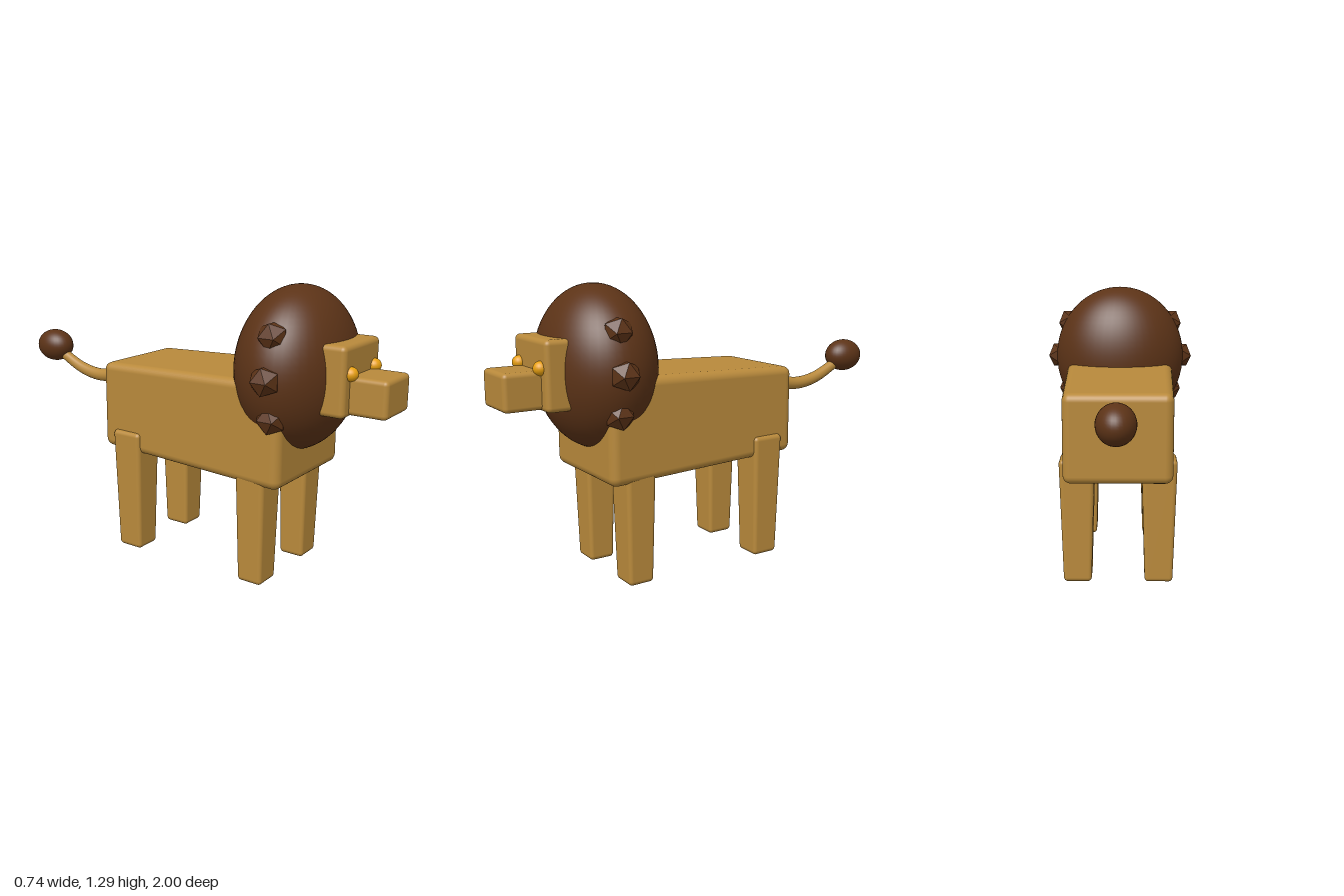
import * as THREE from 'three';
import { RoundedBoxGeometry } from 'three/addons/geometries/RoundedBoxGeometry.js';

const fur = new THREE.MeshStandardMaterial({ color: 0xb8893b });
const brown = new THREE.MeshStandardMaterial({ color: 0x5c3317 });
const tuftFur = new THREE.MeshStandardMaterial({ color: 0x5c3317, flatShading: true });
const amber = new THREE.MeshStandardMaterial({ color: 0xe8a010 });

function add(parent, name, geometry, material, x = 0, y = 0, z = 0) {
  const mesh = new THREE.Mesh(geometry, material);
  mesh.name = name;
  mesh.position.set(x, y, z);
  parent.add(mesh);
  return mesh;
}

// Rounded box whose cross-section shrinks linearly along one axis, from + end to - end
function taperedBox(w, h, d, radius, axis, scaleA, scaleB) {
  const geometry = new RoundedBoxGeometry(w, h, d, 4, radius);
  const length = { y: h, z: d }[axis];
  const other = axis === 'y' ? 'z' : 'y';
  const p = geometry.attributes.position;
  const v = new THREE.Vector3();
  for (let i = 0; i < p.count; i++) {
    v.fromBufferAttribute(p, i);
    const t = 0.5 - v[axis] / length;
    v.x *= 1 + (scaleA - 1) * t;
    v[other] *= 1 + (scaleB - 1) * t;
    p.setXYZ(i, v.x, v.y, v.z);
  }
  return geometry;
}

function ellipsoid(rx, ry, rz, segments = 40) {
  return new THREE.SphereGeometry(1, segments, Math.round(segments * 0.7)).scale(rx, ry, rz);
}

// Tube that narrows from r0 to r1
function taperedTube(curve, r0, r1, segments = 32, sides = 16) {
  const geometry = new THREE.TubeGeometry(curve, segments, 1, sides);
  const p = geometry.attributes.position;
  const v = new THREE.Vector3();
  for (let i = 0; i < p.count; i++) {
    const t = Math.floor(i / (sides + 1)) / segments;
    const centre = curve.getPointAt(t);
    v.fromBufferAttribute(p, i).sub(centre).multiplyScalar(r0 + (r1 - r0) * t).add(centre);
    p.setXYZ(i, v.x, v.y, v.z);
  }
  return geometry;
}

export function createModel() {
  const model = new THREE.Group();
  model.name = 'lion';

  // Body, slimmer toward the rear
  add(model, 'body', taperedBox(0.545, 0.46, 0.97, 0.04, 'z', 0.885, 0.87), fur, 0, 0.688, 0.125);

  // Head
  const head = new THREE.Group();
  head.name = 'head';
  model.add(head);
  add(head, 'mane', ellipsoid(0.328, 0.355, 0.25, 48), brown, 0, 0.935, 0.54);
  add(head, 'face', new RoundedBoxGeometry(0.322, 0.296, 0.27, 4, 0.022), fur, 0, 0.931, 0.703);
  add(head, 'muzzle', new RoundedBoxGeometry(0.222, 0.16, 0.25, 4, 0.02), fur, 0, 0.872, 0.875);

  for (const side of [-1, 1]) {
    add(head, 'eye', ellipsoid(0.032, 0.03, 0.032, 20), amber, side * 0.108, 0.963, 0.838);

    // Mane tufts in an arc on each side
    for (const [x, dy] of [[0.257, 0.17], [0.312, 0], [0.257, -0.17]]) {
      add(head, 'maneTuft', new THREE.IcosahedronGeometry(0.068), tuftFur, side * x, 0.935 + dy, 0.565);
    }

    // Legs, narrower at the foot
    add(model, 'frontLeg', taperedBox(0.16, 0.58, 0.145, 0.02, 'y', 0.79, 0.82), fur, side * 0.184, 0.294, 0.463);
    add(model, 'hindLeg', taperedBox(0.16, 0.575, 0.155, 0.02, 'y', 0.79, 0.82), fur, side * 0.184, 0.2925, -0.21);
  }

  // Tail
  const curve = new THREE.CatmullRomCurve3([
    [0.8, -0.38], [0.768, -0.49], [0.756, -0.6], [0.775, -0.71], [0.825, -0.82], [0.865, -0.89],
  ].map(([y, z]) => new THREE.Vector3(0, y, z)));
  add(model, 'tail', taperedTube(curve, 0.035, 0.024), fur);
  add(model, 'tailRoot', ellipsoid(0.034, 0.034, 0.012, 16), fur, 0, 0.8, -0.38).rotation.x = -0.28;
  add(model, 'tailTuft', ellipsoid(0.078, 0.08, 0.1, 32), brown, 0, 0.875, -0.9);

  return model;
}
